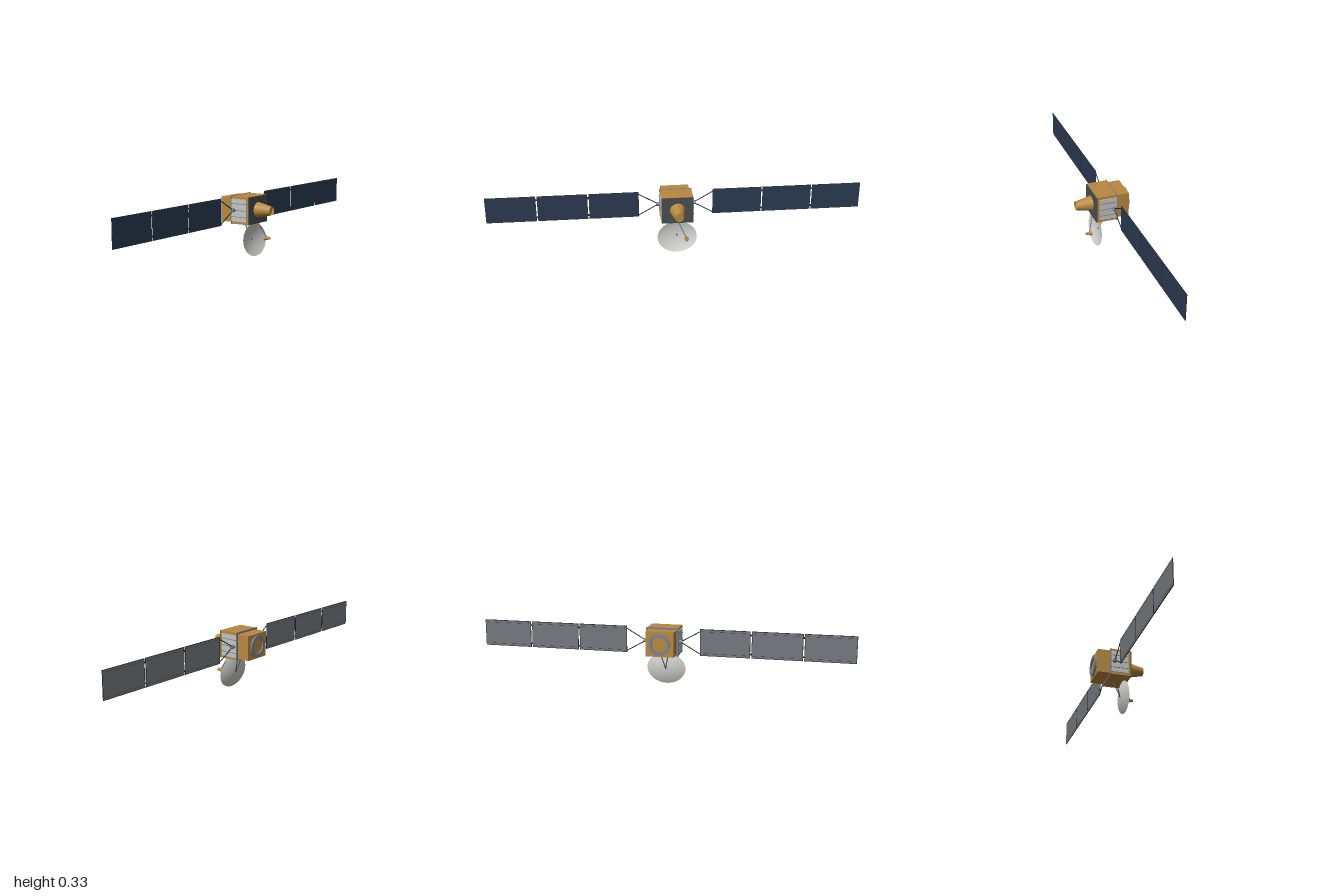
import * as THREE from 'three';

const mat = (name, color, side = THREE.FrontSide) => {
  const m = new THREE.MeshStandardMaterial({ color, side });
  m.name = name;
  return m;
};

export function createModel() {
  const gold = mat('gold foil', 0xb8893f, THREE.DoubleSide);
  const dark = mat('dark plate', 0x4a4f52);
  const black = mat('black frame', 0x24272b);
  const blue = mat('solar cell blue', 0x2b3b52);
  const backGrey = mat('panel back grey', 0x74797e);
  const silver = mat('radiator silver', 0xc4c4c2);
  const metal = mat('metal grey', 0x7c8290);
  const dishMat = mat('dish white', 0xd4d4d2, THREE.DoubleSide);

  const model = new THREE.Group();
  model.name = 'satellite';
  const CY = 0.249; // height of the main axis
  const WZ = -0.042; // depth of the wing plane

  const add = (name, geo, m, x = 0, y = 0, z = 0, parent = model) => {
    const mesh = new THREE.Mesh(geo, m);
    mesh.name = name;
    mesh.position.set(x, y, z);
    parent.add(mesh);
    return mesh;
  };
  const box = (name, w, h, d, m, x, y, z, parent) =>
    add(name, new THREE.BoxGeometry(w, h, d), m, x, y, z, parent);
  // Round rod or cone between two points
  const rod = (name, a, b, r0, r1, m, parent = model, open = false, sides = 12) => {
    const p = new THREE.Vector3(...a), q = new THREE.Vector3(...b);
    const dir = q.clone().sub(p);
    const mesh = add(name, new THREE.CylinderGeometry(r1, r0, dir.length(), sides, 1, open), m, 0, 0, 0, parent);
    mesh.position.copy(p).add(q).multiplyScalar(0.5);
    mesh.quaternion.setFromUnitVectors(new THREE.Vector3(0, 1, 0), dir.normalize());
    return mesh;
  };

  // Body
  box('mainBody', 0.166, 0.147, 0.108, gold, 0, CY, -0.006);
  box('rearBody', 0.15, 0.132, 0.072, gold, 0, CY, -0.094);
  box('flange', 0.174, 0.152, 0.004, metal, 0, CY, -0.06);
  box('frontPlate', 0.166, 0.144, 0.005, dark, 0, CY, 0.0505);

  // Front horn, open at the tip
  rod('frontHorn', [0, CY, 0.052], [0, CY, 0.14], 0.041, 0.023, gold, model, true, 32);
  add('hornThroat', new THREE.CircleGeometry(0.026, 32), gold, 0, CY, 0.124);

  // Rear launch ring with its inner disc
  const ring = new THREE.LatheGeometry([
    [0.04, 0], [0.057, 0], [0.057, 0.002], [0.055, 0.003], [0.055, 0.007],
    [0.057, 0.008], [0.057, 0.01], [0.04, 0.01], [0.04, 0],
  ].map(([r, h]) => new THREE.Vector2(r, h)), 40).toNonIndexed();
  ring.computeVertexNormals();
  ring.rotateX(-Math.PI / 2);
  add('launchRing', ring, metal, 0, CY, -0.13);
  const disc = add('ringDisc', new THREE.CircleGeometry(0.04, 32), gold, 0, CY, -0.1315);
  disc.rotation.y = Math.PI;

  // Side radiators, drive hubs and solar wings
  for (const s of [1, -1]) {
    const side = new THREE.Group();
    side.name = s > 0 ? 'leftSide' : 'rightSide';
    model.add(side);
    box('radiator', 0.005, 0.12, 0.094, silver, s * 0.0845, CY, -0.0115, side);
    for (const dy of [-0.035, 0, 0.035])
      box('radiatorRib', 0.004, 0.003, 0.094, metal, s * 0.0875, CY + dy, -0.0115, side);

    rod('driveHub', [s * 0.083, CY, WZ], [s * 0.105, CY, WZ], 0.0105, 0.0105, metal, side, false, 20);
    for (const k of [1, -1])
      rod('yokeArm', [s * 0.1, CY + k * 0.004, WZ], [s * 0.199, CY + k * 0.061, WZ], 0.0025, 0.0025, black, side);

    for (let i = 0; i < 3; i++) {
      const w = 0.263, x = s * (0.197 + w / 2 + i * 0.27);
      box('panelFrame', w, 0.142, 0.003, black, x, 0.251, WZ, side);
      box('solarCells', w - 0.002, 0.14, 0.001, blue, x, 0.251, WZ + 0.0018, side);
      box('panelBack', w - 0.006, 0.136, 0.001, backGrey, x, 0.251, WZ - 0.0018, side);
      for (const k of [1, -1]) {
        box('stringer', w - 0.02, 0.001, 0.001, black, x, 0.251 + k * 0.058, WZ - 0.0021, side);
        if (i < 2)
          box('hinge', 0.009, 0.008, 0.004, black, x + s * 0.135, 0.251 + k * 0.05, WZ - 0.001, side);
      }
    }
  }

  // Reflector dish: shallow elliptical bowl, leaning slightly upward
  const bowl = [];
  for (let i = 0; i <= 10; i++) bowl.push(new THREE.Vector2(i / 10, ((i / 10) ** 2 - 1) * 0.0175));
  const dishGeo = new THREE.LatheGeometry(bowl, 48);
  dishGeo.scale(0.105, 1, 0.0865);
  dishGeo.rotateX(Math.PI / 2 - 0.105);
  add('dish', dishGeo, dishMat, 0, 0.086, 0.032);
  add('dishBoss', new THREE.SphereGeometry(0.004, 12, 8), dark, 0, 0.0865, 0.0135);
  for (const k of [1, -1])
    rod('dishStrut', [k * 0.022, 0.177, -0.019], [0, 0.087, 0.014], 0.0025, 0.0025, dark);

  // Feed horn in front of the dish
  rod('feedStrut', [0.005, 0.178, 0.05], [0.045, 0.096, 0.08], 0.003, 0.003, metal);
  rod('feedHorn', [0.045, 0.091, 0.066], [0.045, 0.095, 0.099], 0.0112, 0.0065, gold, model, false, 20);

  return model;
}
